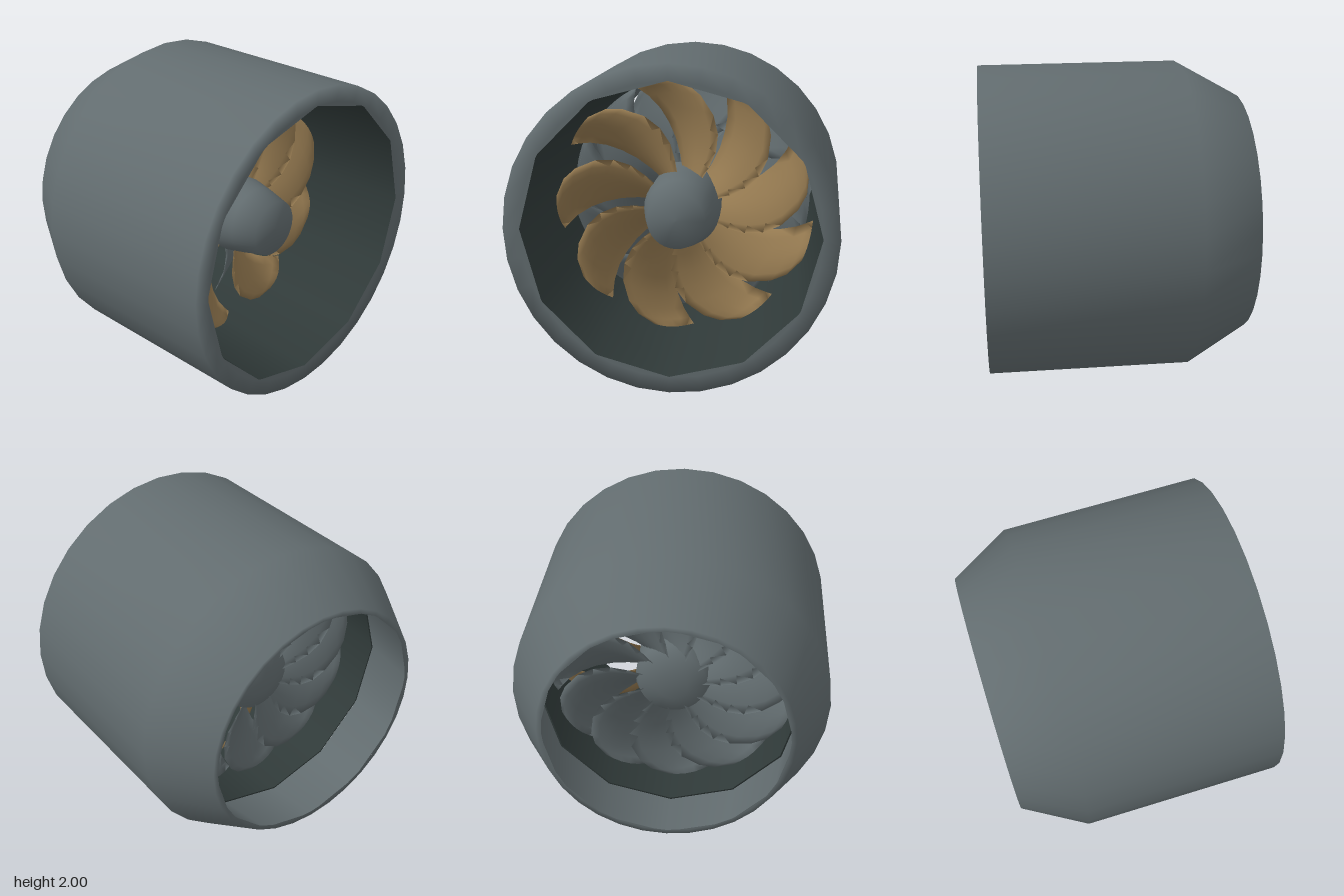
import * as THREE from 'three';

const mat = (name, color, side = THREE.FrontSide) => {
  const m = new THREE.MeshStandardMaterial({ color, side });
  m.name = name;
  return m;
};

// Surface of revolution around the x axis; points are [radius, x]
function turned(name, points, segments, material) {
  const geo = new THREE.LatheGeometry(points.map(([r, x]) => new THREE.Vector2(r, x)), segments);
  geo.rotateZ(-Math.PI / 2);
  const mesh = new THREE.Mesh(geo, material);
  mesh.name = name;
  return mesh;
}

// Swept blade: each section is [radius, leading angle, trailing angle, half depth along x]
const SECTIONS = [
  [0.2, 97, 136, 0.1],
  [0.32, 98, 137, 0.1],
  [0.43, 100, 139, 0.1],
  [0.54, 105, 142, 0.1],
  [0.64, 112, 145, 0.09],
  [0.74, 121, 149, 0.08],
  [0.8, 128, 152, 0.065],
  [0.84, 137, 154, 0.05],
];

function bladeGeometry(radiusScale, widen) {
  const chord = 6, loop = chord * 2;
  const pos = [], idx = [];
  for (const [r0, lead, trail, depth] of SECTIONS) {
    const r = r0 * radiusScale;
    for (let k = 0; k < loop; k++) {
      const front = k <= chord;
      const t = front ? k / chord : (loop - k) / chord;
      const a = THREE.MathUtils.degToRad(lead + (trail + widen - lead) * t);
      const bulge = Math.sin(Math.PI * t) * (front ? 0.03 : 0.01);
      pos.push(depth * (1 - 2 * t) + bulge, r * Math.sin(a), -r * Math.cos(a));
    }
  }
  const rows = SECTIONS.length;
  for (let i = 0; i < rows - 1; i++) {
    for (let k = 0; k < loop; k++) {
      const a = i * loop + k, b = i * loop + (k + 1) % loop;
      idx.push(a, a + loop, b, b, a + loop, b + loop);
    }
  }
  // tip cap
  const tip = (rows - 1) * loop;
  for (let k = 1; k < loop - 1; k++) idx.push(tip, tip + k + 1, tip + k);
  const geo = new THREE.BufferGeometry();
  geo.setAttribute('position', new THREE.Float32BufferAttribute(pos, 3));
  geo.setIndex(idx);
  geo.computeVertexNormals();
  return geo;
}

function bladeRing(name, geo, count, material) {
  const ring = new THREE.Group();
  ring.name = name;
  for (let i = 0; i < count; i++) {
    const blade = new THREE.Mesh(geo, material);
    blade.name = name + 'Blade';
    blade.rotation.x = (i / count) * Math.PI * 2;
    ring.add(blade);
  }
  return ring;
}

export function createModel() {
  const grey = mat('casing grey', 0x626c6f);
  const dark = mat('dark lining', 0x303a39, THREE.DoubleSide);
  const bronze = mat('bronze', 0x947950);

  const engine = new THREE.Group();
  engine.name = 'ductedFan';

  // Outer shell: tail cone, casing and inlet rim, softly shaded as one skin
  engine.add(turned('casing', [
    [0.75, -0.83], [0.78, -0.83], [1, -0.44], [1, 0.83], [0.9, 0.83],
  ], 32, grey));

  // Twelve-sided inner edges of the two rims
  engine.add(
    turned('inletRimEdge', [[0.95, 0.827], [0.9, 0.827]], 12, grey),
    turned('tailRimEdge', [[0.765, -0.828], [0.778, -0.828]], 12, grey),
  );

  // Twelve-sided inner walls
  engine.add(
    turned('ductLining', [[0.9, 0.827], [0.875, 0.3], [0.845, -0.44]], 12, dark),
    turned('nozzleLip', [[0.845, -0.44], [0.82, -0.45]], 12, dark),
    turned('nozzleInside', [[0.83, -0.45], [0.765, -0.828]], 12, grey),
  );

  // Hub with a blunt tapered nose
  engine.add(turned('hub', [
    [0, -0.3], [0.1, -0.3], [0.22, -0.26], [0.245, -0.2],
    [0.245, 0.25], [0.22, 0.37], [0.18, 0.53], [0, 0.54],
  ], 32, grey));

  // Front fan, and rear vanes swept the opposite way
  const fan = bladeRing('fan', bladeGeometry(1, 0), 9, bronze);
  fan.position.x = 0.14;
  const vanes = bladeRing('rearVane', bladeGeometry(0.96, 8), 11, grey);
  vanes.position.x = -0.17;
  vanes.rotation.y = Math.PI;
  engine.add(fan, vanes);

  engine.position.y = 1;
  const model = new THREE.Group();
  model.name = 'model';
  model.add(engine);
  return model;
}
